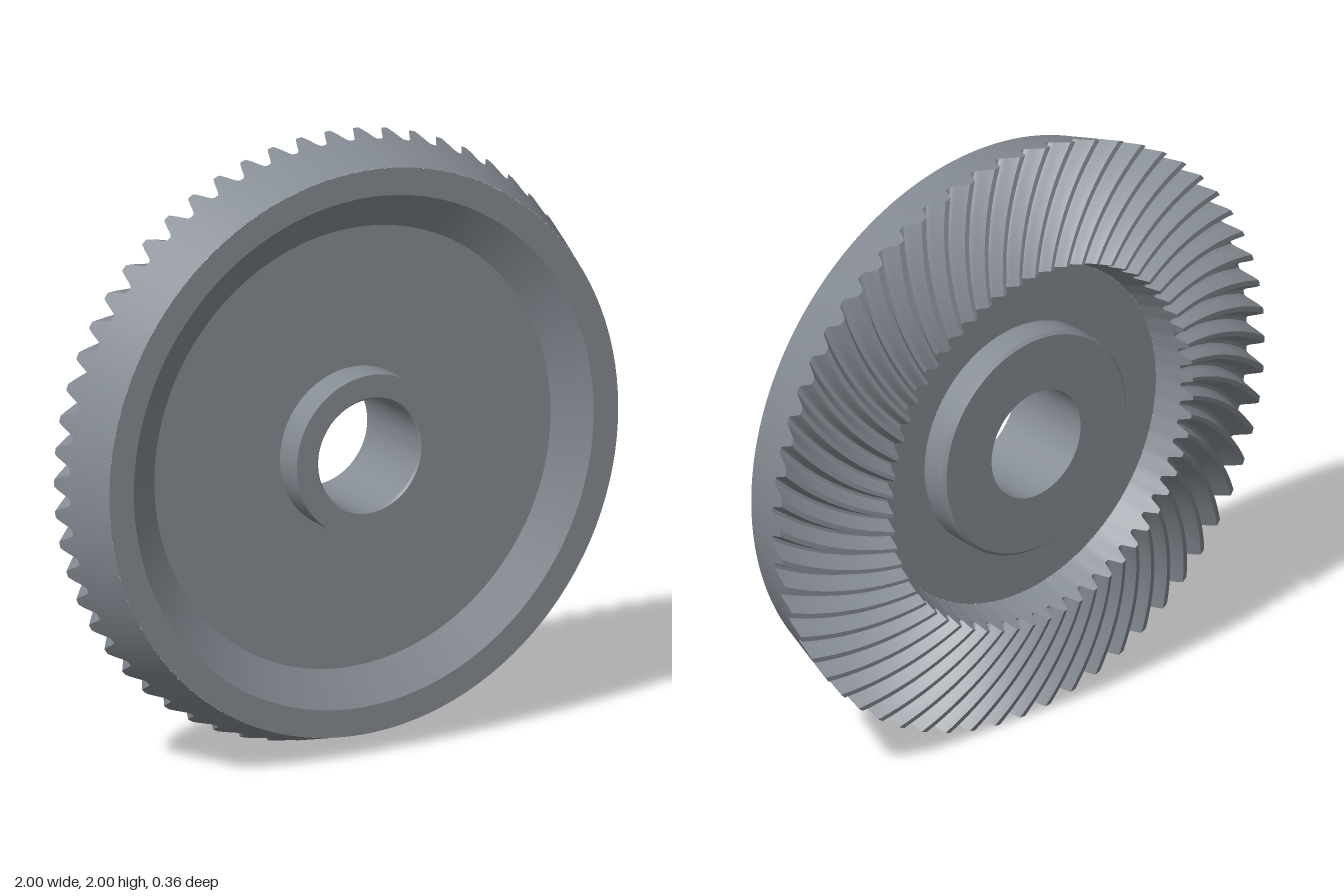
import * as THREE from 'three';
import { toCreasedNormals } from 'three/addons/utils/BufferGeometryUtils.js';

const TEETH = 60;
const STEPS = 14; // steps along each tooth, from inner end to outer end

// One tooth pitch: [fraction of pitch, fraction of tooth height]
const TOOTH = [
  [0, 0], [0.07, 0], [0.13, 0.08], [0.19, 0.28], [0.26, 0.55], [0.33, 0.8], [0.4, 1],
  [0.6, 1], [0.67, 0.8], [0.74, 0.55], [0.81, 0.28], [0.87, 0.08], [0.93, 0],
];

// Cone lines as [radius, z]
const INNER_FLOOR = [0.576, -0.05];
const RIM = [0.93, 0.145];
const ROOT = [[0.606, -0.135], [0.98, -0.016]];
const TIP = [[0.62, -0.18], [1.0, -0.08]];

const mix = (a, b, t) => [a[0] + (b[0] - a[0]) * t, a[1] + (b[1] - a[1]) * t];

// Spiral sweep of the tooth: the spiral angle grows from inner to outer end
function spiralAngles() {
  const sweep = [0];
  for (let i = 1; i <= STEPS; i++) {
    const t = (i - 0.5) / STEPS;
    const r = mix(TIP[0], TIP[1], t)[0];
    const psi = THREE.MathUtils.degToRad(21 + 15 * t);
    sweep.push(sweep[i - 1] + (Math.tan(psi) / r) * (TIP[1][0] - TIP[0][0]) / STEPS);
  }
  return sweep.map((a) => a - sweep[STEPS]);
}

// Ring of curved teeth with the conical end faces at its inner and outer edge
function toothedRing() {
  const sweep = spiralAngles();
  const columns = TEETH * TOOTH.length;
  const rows = STEPS + 3;
  const positions = [];
  const index = [];
  for (let c = 0; c < columns; c++) {
    const [u, h] = TOOTH[c % TOOTH.length];
    const base = ((Math.floor(c / TOOTH.length) + u - 0.5) / TEETH) * Math.PI * 2;
    const put = ([r, z], turn) => {
      positions.push(r * Math.cos(base + turn), r * Math.sin(base + turn), z);
    };
    put(INNER_FLOOR, sweep[0]);
    for (let i = 0; i <= STEPS; i++) {
      const t = i / STEPS;
      put(mix(mix(ROOT[0], ROOT[1], t), mix(TIP[0], TIP[1], t), h), sweep[i]);
    }
    put(RIM, 0);
    const next = (c + 1) % columns;
    for (let i = 0; i < rows - 1; i++) {
      const a = c * rows + i;
      const b = next * rows + i;
      index.push(a, b, a + 1, b, b + 1, a + 1);
    }
  }
  const geometry = new THREE.BufferGeometry();
  geometry.setAttribute('position', new THREE.Float32BufferAttribute(positions, 3));
  geometry.setIndex(index);
  return toCreasedNormals(geometry, 0.5);
}

// Turned body: dished front, front hub, bore, back boss and back floor
function gearBody() {
  const profile = [
    RIM, [0.84, 0.145], [0.724, 0.075], [0.265, 0.075], [0.265, 0.18],
    [0.19, 0.18], [0.184, 0.174], [0.184, -0.145],
    [0.37, -0.145], [0.38, -0.135], [0.38, -0.05], INNER_FLOOR,
  ].map(([r, z]) => new THREE.Vector2(r, z));
  const geometry = new THREE.LatheGeometry(profile, 120);
  geometry.rotateX(Math.PI / 2);
  return toCreasedNormals(geometry, 0.4);
}

export function createModel() {
  const material = new THREE.MeshStandardMaterial({ color: 0x868c94 });
  const gear = new THREE.Group();
  gear.name = 'spiralBevelGear';
  const parts = { gearBody: gearBody(), spiralTeeth: toothedRing() };
  for (const [name, geometry] of Object.entries(parts)) {
    const mesh = new THREE.Mesh(geometry, material);
    mesh.name = name;
    mesh.position.y = 1;
    gear.add(mesh);
  }
  return gear;
}
